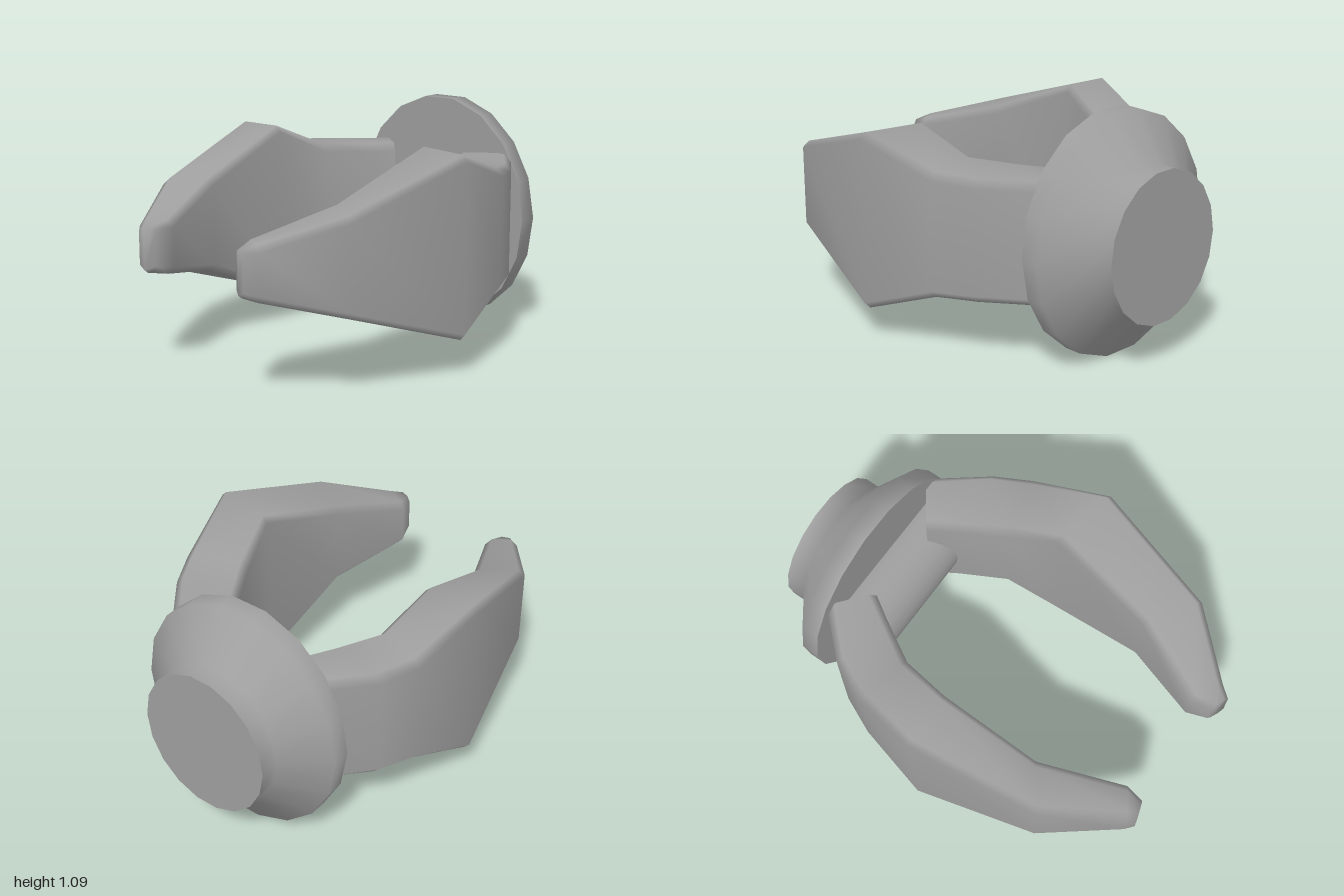
import * as THREE from 'three';

const material = new THREE.MeshStandardMaterial({ color: 0x9e9e9e });

function addMesh(group, name, geometry) {
  const mesh = new THREE.Mesh(geometry, material);
  mesh.name = name;
  group.add(mesh);
  return mesh;
}

// Bottom and top of the jaw at each cross-section, root to tip
const heights = [[0.3, 0.85], [0.3, 0.85], [0.293, 0.86], [0.16, 0.972], [0.35, 0.78], [0.43, 0.67], [0.455, 0.645]];
const bevels = [0.035, 0.035, 0.035, 0.028, 0.03, 0.03, 0.022];

// Loft of bevelled rectangles; each section is [x, z] of its -x edge, then of its +x edge
function jawGeometry(sections) {
  const positions = [], index = [];
  const n = 8, last = sections.length - 1;
  sections.forEach(([x0, z0, x1, z1], s) => {
    const [y0, y1] = heights[s];
    const c = bevels[s];
    const t = Math.min(0.4, c / Math.hypot(x1 - x0, z1 - z0));
    const ring = [
      [t, y0], [1 - t, y0], [1, y0 + c], [1, y1 - c],
      [1 - t, y1], [t, y1], [0, y1 - c], [0, y0 + c],
    ];
    for (const [u, y] of ring) positions.push(x0 + (x1 - x0) * u, y, z0 + (z1 - z0) * u);
  });
  for (let s = 0; s < last; s++) {
    for (let k = 0; k < n; k++) {
      const a = s * n + k, b = s * n + (k + 1) % n;
      index.push(a, b, b + n, a, b + n, a + n);
    }
  }
  // Root cap on its own vertices (sharp edge), tip cap shared with the sides (soft edge)
  const root = positions.length / 3;
  positions.push(...positions.slice(0, n * 3));
  for (let k = 1; k < n - 1; k++) {
    index.push(root, root + k + 1, root + k);
    index.push(last * n, last * n + k, last * n + k + 1);
  }
  const geometry = new THREE.BufferGeometry();
  geometry.setAttribute('position', new THREE.Float32BufferAttribute(positions, 3));
  geometry.setIndex(index);
  geometry.computeVertexNormals();
  return geometry;
}

export function createModel() {
  const group = new THREE.Group();
  group.name = 'gripperClaw';

  // Mounting base turned about z; doubled points keep the two flat faces sharp
  const profile = [
    [0, -0.321], [0.343, -0.321], [0.343, -0.321], [0.343, -0.228],
    [0.551, -0.085], [0.551, 0], [0.551, 0], [0, 0],
  ];
  const baseGeometry = new THREE.LatheGeometry(
    profile.map(([r, y]) => new THREE.Vector2(r, y)), 18, Math.PI / 18);
  baseGeometry.rotateX(Math.PI / 2);
  baseGeometry.scale(0.93, 1, 1);
  const base = addMesh(group, 'mountingBase', baseGeometry);
  base.position.set(-0.025, 0.543, -0.672);
  base.rotation.set(0.02, -0.02, 0);

  // Hinge bar between the jaw roots
  const barGeometry = new THREE.CylinderGeometry(0.199, 0.199, 0.7, 24);
  barGeometry.rotateZ(Math.PI / 2);
  const bar = addMesh(group, 'hingeBar', barGeometry);
  bar.position.set(-0.02, 0.523, -0.637);
  bar.rotation.y = -0.02;

  // Curved jaws, set at slightly different angles
  addMesh(group, 'rightJaw', jawGeometry([
    [-0.39, -0.70, -0.215, -0.55],
    [-0.58, -0.50, -0.28, -0.45],
    [-0.66, -0.33, -0.40, -0.25],
    [-0.735, 0.0, -0.465, 0.0],
    [-0.635, 0.59, -0.44, 0.46],
    [-0.41, 0.92, -0.28, 0.84],
    [-0.375, 0.955, -0.295, 0.93],
  ]));
  addMesh(group, 'leftJaw', jawGeometry([
    [0.17, -0.55, 0.385, -0.70],
    [0.24, -0.43, 0.57, -0.45],
    [0.35, -0.22, 0.65, -0.28],
    [0.41, 0.01, 0.73, 0.08],
    [0.36, 0.50, 0.60, 0.67],
    [0.213, 0.86, 0.36, 0.945],
    [0.24, 0.96, 0.32, 0.998],
  ]));

  return group;
}
